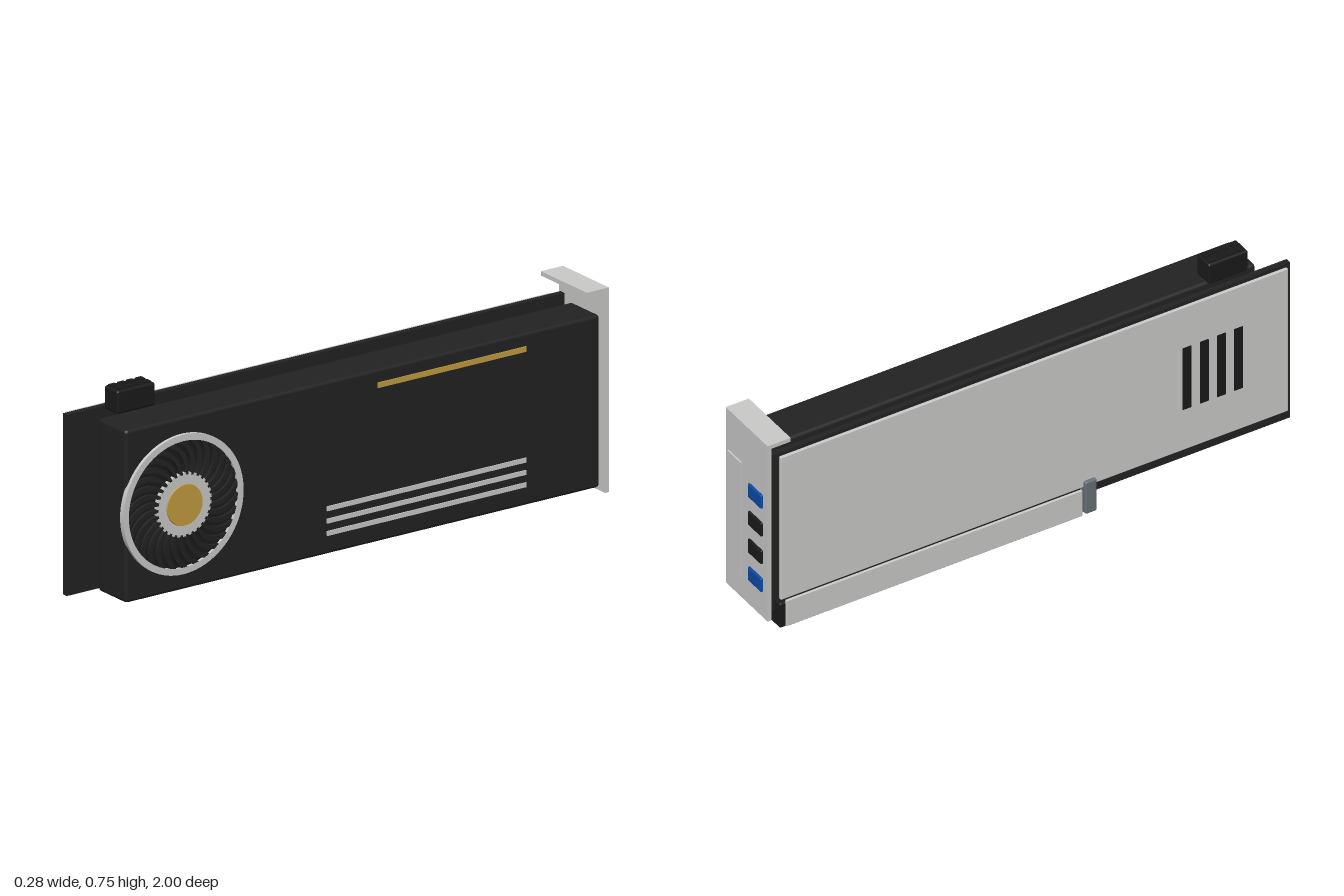
import * as THREE from 'three';
import { RoundedBoxGeometry } from 'three/addons/geometries/RoundedBoxGeometry.js';

const mat = (name, color) => {
  const m = new THREE.MeshStandardMaterial({ color });
  m.name = name;
  return m;
};

export function createModel() {
  const dark = mat('charcoal', 0x222222);
  const black = mat('black plastic', 0x1a1a1a);
  const silver = mat('silver', 0xcacbc9);
  const gold = mat('gold', 0xc49c3e);
  const blue = mat('blue', 0x0d4aa3);
  const slate = mat('slate', 0x667076);

  const root = new THREE.Group();
  root.name = 'graphicsCard';

  const add = (parent, name, geometry, material) => {
    const mesh = new THREE.Mesh(geometry, material);
    mesh.name = name;
    parent.add(mesh);
    return mesh;
  };

  // Box given by its limits on each axis, with optional rounded edges
  const box = (name, material, [x0, x1], [y0, y1], [z0, z1], r = 0, parent = root) => {
    const size = [x1 - x0, y1 - y0, z1 - z0];
    const geo = r ? new RoundedBoxGeometry(...size, 2, r) : new THREE.BoxGeometry(...size);
    const mesh = add(parent, name, geo, material);
    mesh.position.set((x0 + x1) / 2, (y0 + y1) / 2, (z0 + z1) / 2);
    return mesh;
  };

  // Board, cooler cover and backplate
  box('circuitBoard', dark, [-0.102, -0.081], [0.06, 0.675], [-0.96, 1]);
  box('coolerShroud', dark, [-0.035, 0.118], [0.073, 0.66], [-0.957, 0.912], 0.012);
  box('backplate', silver, [-0.122, -0.11], [0.105, 0.67], [-0.935, 0.98], 0.003);
  for (let i = 0; i < 4; i++) {
    const z = 0.597 + i * 0.065;
    box('backplateVent', black, [-0.125, -0.1215], [0.267, 0.51], [z - 0.016, z + 0.016]);
  }

  // Trim lines on the cover
  box('goldTrim', gold, [0.117, 0.122], [0.597, 0.615], [-0.665, -0.08]);
  for (const y of [0.145, 0.187, 0.229]) {
    box('silverTrim', silver, [0.117, 0.122], [y - 0.008, y + 0.008], [-0.665, 0.12]);
  }

  // Slot housing with side plates and a latch
  box('slotHousing', black, [-0.132, -0.05], [0.003, 0.1], [-0.945, 0.195], 0.006);
  box('slotPlate', silver, [-0.14, -0.13], [0.008, 0.11], [-0.925, 0.193], 0.003);
  box('slotPlate', silver, [-0.053, -0.043], [0.008, 0.11], [-0.925, 0.193], 0.003);
  box('slotLatch', slate, [-0.134, -0.049], [0.003, 0.13], [0.207, 0.252], 0.007);

  // Power socket
  box('powerSocket', black, [-0.066, 0.008], [0.673, 0.752], [0.715, 0.865], 0.008);
  for (let i = 0; i < 4; i++) {
    for (const x of [-0.047, -0.014]) {
      const z = 0.737 + i * 0.035;
      box('powerPin', black, [x - 0.011, x + 0.011], [0.745, 0.756], [z - 0.012, z + 0.012]);
    }
  }

  // Mounting bracket with ports and a raised panel
  const bracket = new THREE.Group();
  bracket.name = 'bracket';
  root.add(bracket);
  box('bracketPlate', silver, [-0.133, 0.118], [0.05, 0.745], [-0.992, -0.977], 0, bracket);
  box('bracketLip', silver, [-0.133, 0.118], [0.73, 0.745], [-0.992, -0.905], 0, bracket);
  box('raisedPanel', silver, [0.02, 0.1], [0.15, 0.587], [-0.998, -0.99], 0, bracket);
  [blue, black, black, blue].forEach((m, i) => {
    const y = 0.177 + i * 0.11;
    box('displayPort', m, [-0.105, -0.023], [y - 0.027, y + 0.027], [-1, -0.985], 0.005, bracket);
  });

  // Fan, built facing local +z and turned to face +x
  const fan = new THREE.Group();
  fan.name = 'fan';
  fan.position.set(0.118, 0.368, 0.693);
  fan.rotation.y = Math.PI / 2;
  root.add(fan);

  const disc = (name, material, r0, r1, z0, z1) => {
    const geo = new THREE.CylinderGeometry(r1, r0, z1 - z0, 64);
    geo.rotateX(Math.PI / 2);
    add(fan, name, geo, material).position.z = (z0 + z1) / 2;
  };
  disc('fanFloor', black, 0.222, 0.222, -0.004, 0.002);
  disc('fanHub', silver, 0.102, 0.102, 0, 0.017);
  disc('hubCap', gold, 0.071, 0.069, 0.015, 0.021);

  // Rim
  const rim = new THREE.Shape().absarc(0, 0, 0.237, 0, Math.PI * 2, false);
  rim.holes.push(new THREE.Path().absarc(0, 0, 0.215, 0, Math.PI * 2, true));
  const rimGeo = new THREE.ExtrudeGeometry(rim, { depth: 0.018, bevelEnabled: false, curveSegments: 64 });
  rimGeo.translate(0, 0, -0.006);
  add(fan, 'fanRim', rimGeo, silver);

  // Curved blades, rising towards the hub
  const edge = (offset, steps = 6) => Array.from({ length: steps + 1 }, (_, i) => {
    const t = i / steps;
    const r = 0.1 + 0.117 * t;
    const a = 0.35 * t * t + offset;
    return new THREE.Vector2(r * Math.cos(a), r * Math.sin(a));
  });
  const bladeShape = new THREE.Shape([...edge(-0.055), ...edge(0.055).reverse()]);
  const bladeGeo = new THREE.ExtrudeGeometry(bladeShape, { depth: 0.011, bevelEnabled: false });
  const p = bladeGeo.attributes.position;
  for (let i = 0; i < p.count; i++) {
    if (p.getZ(i) > 0.005) {
      p.setZ(i, 0.011 + 0.05 * (0.217 - Math.hypot(p.getX(i), p.getY(i))));
    }
  }
  bladeGeo.computeVertexNormals();
  const toothGeo = new THREE.BoxGeometry(0.012, 0.012, 0.016);
  const count = 30;
  for (let i = 0; i < count; i++) {
    const a = (i / count) * Math.PI * 2;
    add(fan, 'fanBlade', bladeGeo, dark).rotation.z = a;
    // Silver teeth between the blade roots
    const b = a + Math.PI / count;
    const tooth = add(fan, 'hubTooth', toothGeo, silver);
    tooth.position.set(0.102 * Math.cos(b), 0.102 * Math.sin(b), 0.0088);
    tooth.rotation.z = b;
  }

  return root;
}
